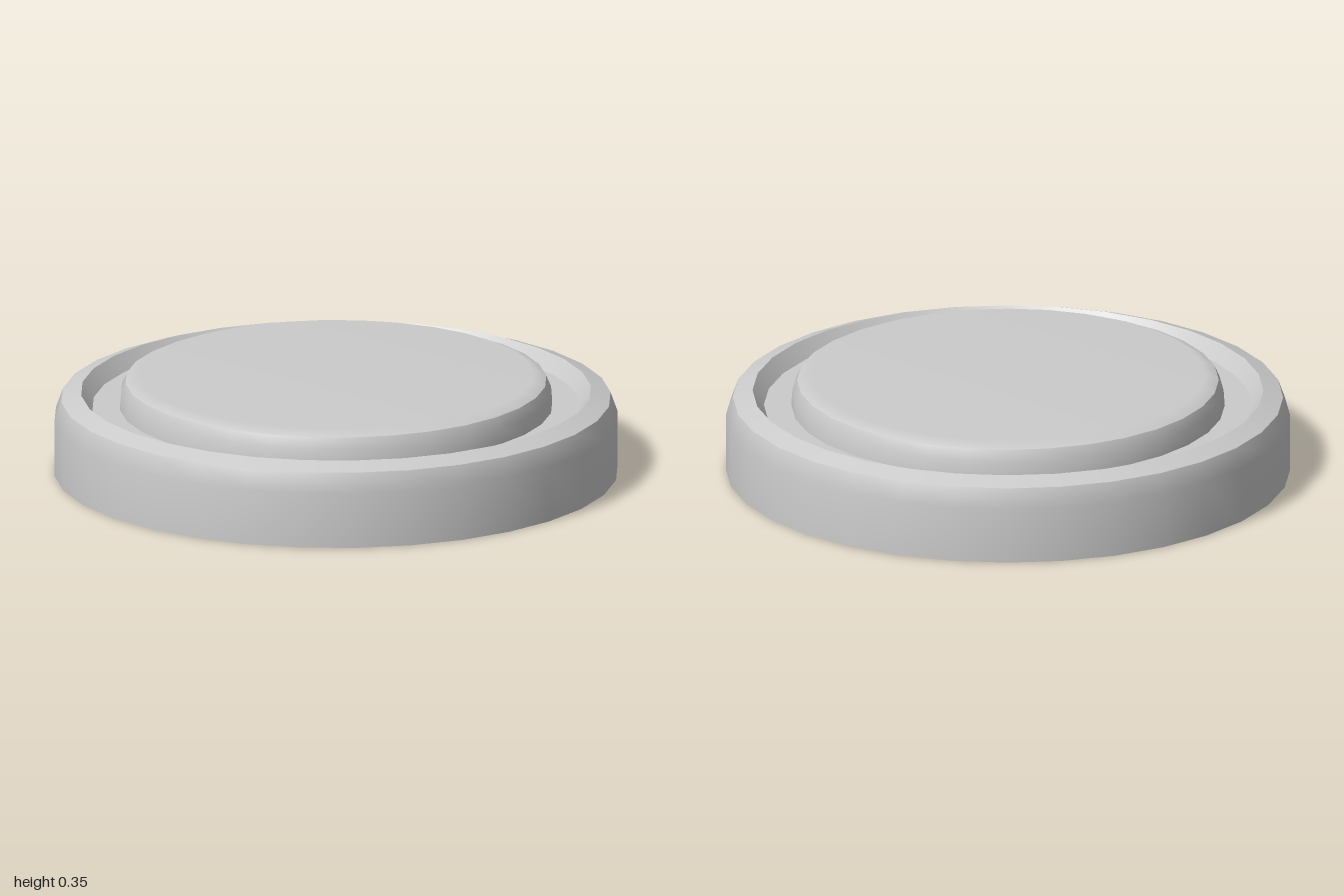
import * as THREE from 'three';
import { mergeGeometries } from 'three/addons/utils/BufferGeometryUtils.js';

const SIDES = 32;

// Each band is a smooth run of [radius, height] points; bands meet at sharp edges.
function turned(name, bands) {
  const parts = bands.map(band =>
    new THREE.LatheGeometry(band.map(([r, y]) => new THREE.Vector2(r, y)), SIDES));
  const mesh = new THREE.Mesh(
    mergeGeometries(parts),
    new THREE.MeshStandardMaterial({ color: 0xcccccc }));
  mesh.name = name;
  return mesh;
}

export function createModel() {
  const group = new THREE.Group();
  group.name = 'roundButton';

  // Housing: underside, outer wall with rounded shoulder, sloped rim, recess wall and floor
  group.add(turned('housing', [
    [[0, 0], [1, 0]],
    [[1, 0], [1, 0.2], [0.975, 0.27]],
    [[0.975, 0.27], [0.905, 0.295]],
    [[0.905, 0.295], [0.865, 0.24]],
    [[0.865, 0.24], [0.765, 0.24]],
  ]));

  // Raised cap: tapered side, then a softly rounded flat top
  group.add(turned('cap', [
    [[0.768, 0.24], [0.764, 0.295], [0.747, 0.335]],
    [[0.747, 0.335], [0.7, 0.355], [0, 0.355]],
  ]));

  return group;
}
